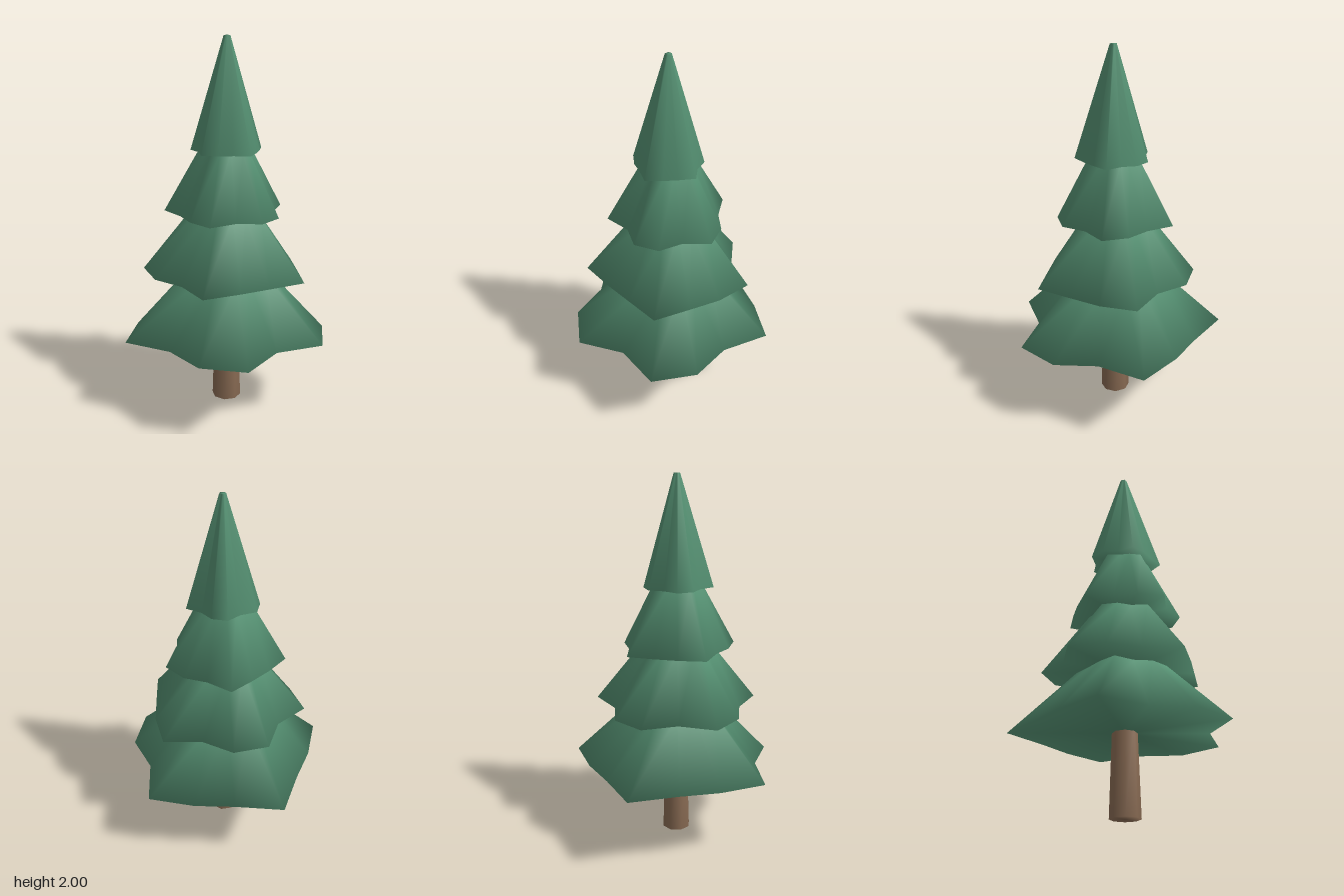
import * as THREE from 'three';

const AXIS_Z = 0.04; // the tree axis sits slightly forward of the centre

// Smooth closed loft between two scaled copies of one star-like outline.
// Radii run evenly around the axis, from the back towards +x.
function loft(radii, y0, y1, topScale, capTop) {
  const n = radii.length, pos = [], index = [];
  for (const [y, s] of [[y0, 1], [y1, topScale]]) {
    radii.forEach((r, i) => {
      const a = (i / n) * Math.PI * 2;
      pos.push(r * s * Math.sin(a), y, AXIS_Z - r * s * Math.cos(a));
    });
  }
  pos.push(0, y0, AXIS_Z, 0, y1, AXIS_Z);
  for (let i = 0; i < n; i++) {
    const j = (i + 1) % n;
    index.push(i, n + i, j, j, n + i, n + j); // sloping side
    index.push(2 * n, i, j); // underside
    if (capTop) index.push(2 * n + 1, n + j, n + i);
  }
  const geo = new THREE.BufferGeometry();
  geo.setAttribute('position', new THREE.Float32BufferAttribute(pos, 3));
  geo.setIndex(index);
  geo.computeVertexNormals();
  return geo;
}

export function createModel() {
  const tree = new THREE.Group();
  tree.name = 'pineTree';
  const bark = new THREE.MeshStandardMaterial({ color: 0x8a6c54 });
  const needles = new THREE.MeshStandardMaterial({ color: 0x579475 });

  const add = (name, geo, mat) => {
    const mesh = new THREE.Mesh(geo, mat);
    mesh.name = name;
    tree.add(mesh);
  };

  // Tapered trunk
  add('trunk', loft(Array(8).fill(0.08), 0, 0.45, 0.82, true), bark);

  // Four stacked skirts of branches with uneven, pointed rims
  const tiers = [
    { name: 'bottomBranches', y0: 0.43, y1: 0.76, top: 0.42,
      rim: [0.6, 0.483, 0.498, 0.585, 0.449, 0.534, 0.57, 0.435, 0.57, 0.534, 0.449, 0.585, 0.498, 0.483] },
    { name: 'lowerMiddleBranches', y0: 0.76, y1: 1.09, top: 0.43,
      rim: [0.44, 0.42, 0.348, 0.457, 0.398, 0.384, 0.456, 0.37, 0.373, 0.456, 0.352, 0.411, 0.455, 0.349] },
    { name: 'upperMiddleBranches', y0: 1.09, y1: 1.42, top: 0.44,
      rim: [0.28, 0.335, 0.262, 0.293, 0.323, 0.249, 0.304, 0.305, 0.246, 0.327, 0.286, 0.262, 0.334, 0.282] },
    { name: 'topBranches', y0: 1.42, y1: 2, top: 0.09,
      rim: [0.16, 0.19, 0.18, 0.155, 0.2, 0.17, 0.172, 0.205, 0.166, 0.175, 0.199, 0.155, 0.19, 0.2] },
  ];
  tiers.forEach((t, i) => add(t.name, loft(t.rim, t.y0, t.y1, t.top, i === 3), needles));

  return tree;
}
